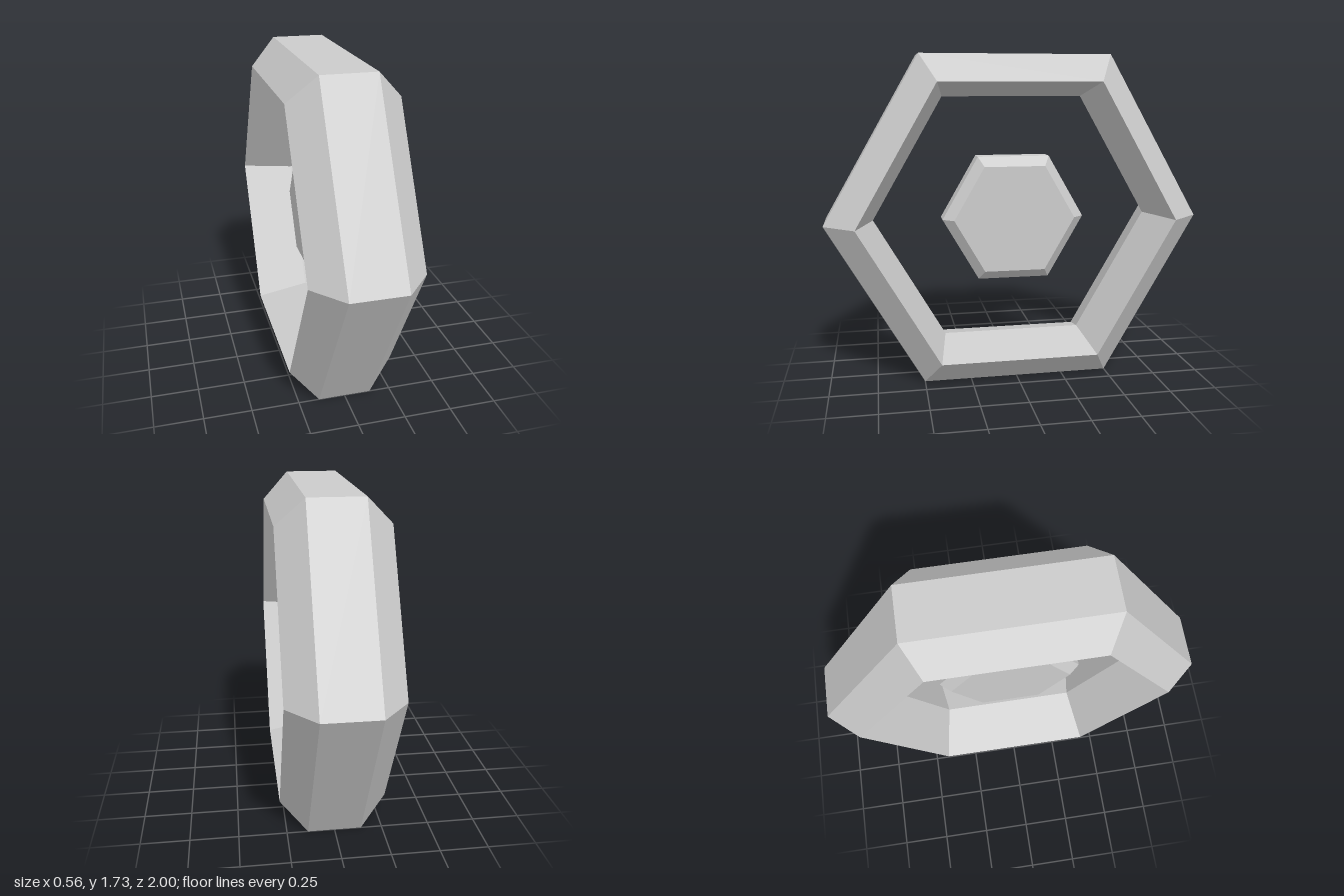
import * as THREE from 'three';

const SIDES = 6;
const CENTRE_Y = Math.sqrt(3) / 2; // a unit hexagon resting on a flat edge

// Revolves a [radius, x] profile in six flat steps around the x axis.
function hexLathe(name, profile, material) {
  const points = profile.map(([r, x]) => new THREE.Vector2(r, x));
  const geometry = new THREE.LatheGeometry(points, SIDES);
  geometry.rotateZ(-Math.PI / 2); // lathe axis y -> x
  const mesh = new THREE.Mesh(geometry, material);
  mesh.name = name;
  mesh.position.y = CENTRE_Y;
  return mesh;
}

export function createModel() {
  const group = new THREE.Group();
  group.name = 'hexagonalRing';
  const grey = new THREE.MeshStandardMaterial({ color: 0xcccccc, flatShading: true });

  // Outer ring: flat rim, bevelled shoulders, V-shaped inner wall
  group.add(hexLathe('outerRing', [
    [0.75, 0], [0.838, -0.28], [1, -0.14], [1, 0.14], [0.838, 0.28], [0.75, 0],
  ], grey));

  // Floating centre plate with bevelled edges on both faces
  group.add(hexLathe('centrePlate', [
    [0, -0.1], [0.327, -0.1], [0.385, -0.05], [0.385, 0.05], [0.327, 0.1], [0, 0.1],
  ], grey));

  return group;
}
